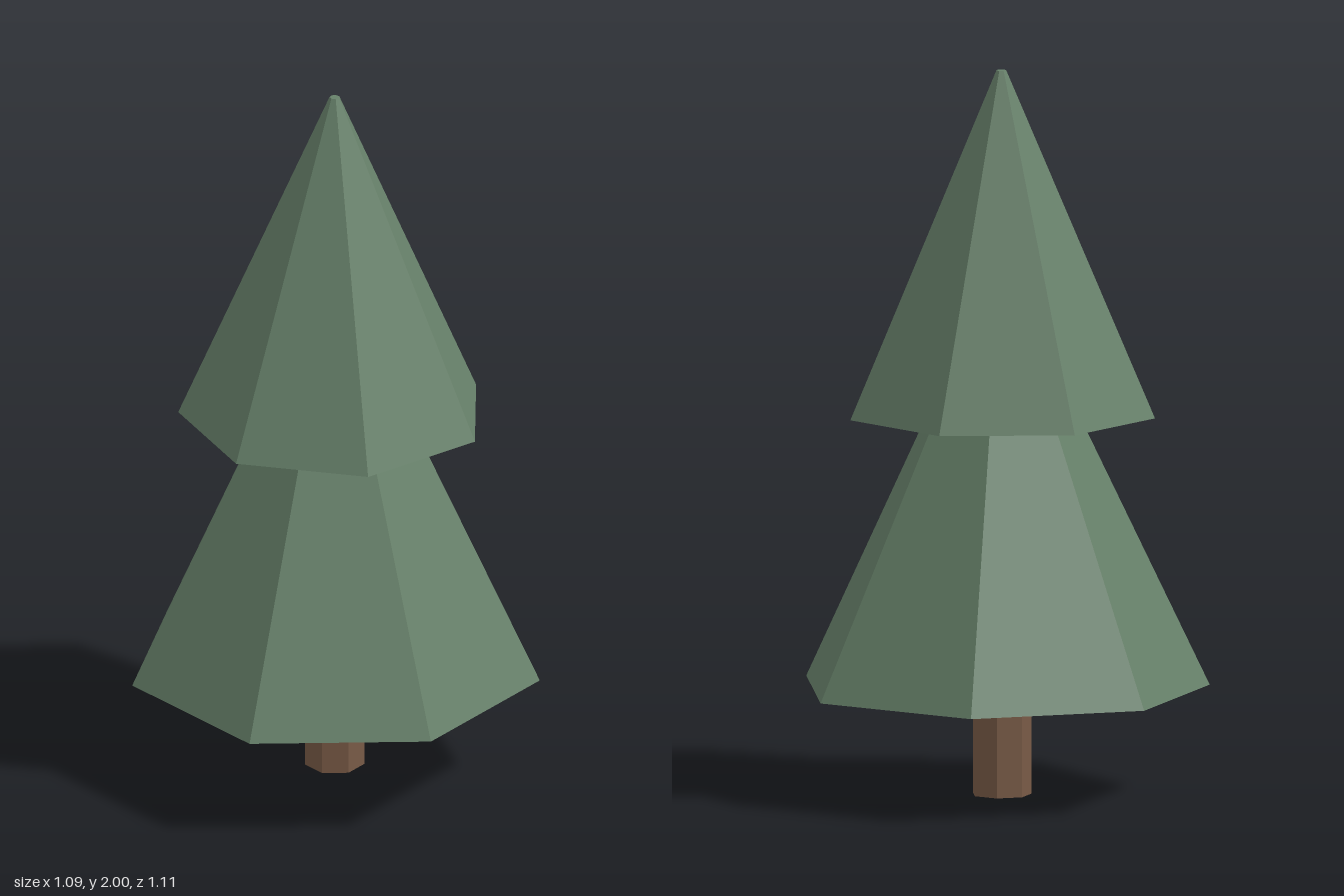
import * as THREE from 'three';

const SIDES = 7;

export function createModel() {
  const tree = new THREE.Group();
  tree.name = 'pineTree';

  const needles = new THREE.MeshStandardMaterial({ color: 0x67816a, flatShading: true });
  needles.name = 'needle green';
  const bark = new THREE.MeshStandardMaterial({ color: 0x785a46, flatShading: true });
  bark.name = 'bark brown';

  // Seven-sided tapered section standing between two heights
  function section(name, material, bottomRadius, topRadius, y0, y1, turn) {
    const geometry = new THREE.CylinderGeometry(topRadius, bottomRadius, y1 - y0, SIDES);
    const mesh = new THREE.Mesh(geometry, material);
    mesh.name = name;
    mesh.position.set(-0.024, (y0 + y1) / 2, -0.006);
    mesh.rotation.y = turn;
    tree.add(mesh);
  }

  // Trunk and lower tier share one turn; the upper tier is twisted against them
  section('trunk', bark, 0.083, 0.083, 0, 0.4, -0.186);
  section('lowerBranches', needles, 0.571, 0.015, 0.295, 1.46, -0.186);
  section('upperBranches', needles, 0.427, 0.014, 1.05, 2, Math.PI / SIDES);

  return tree;
}
